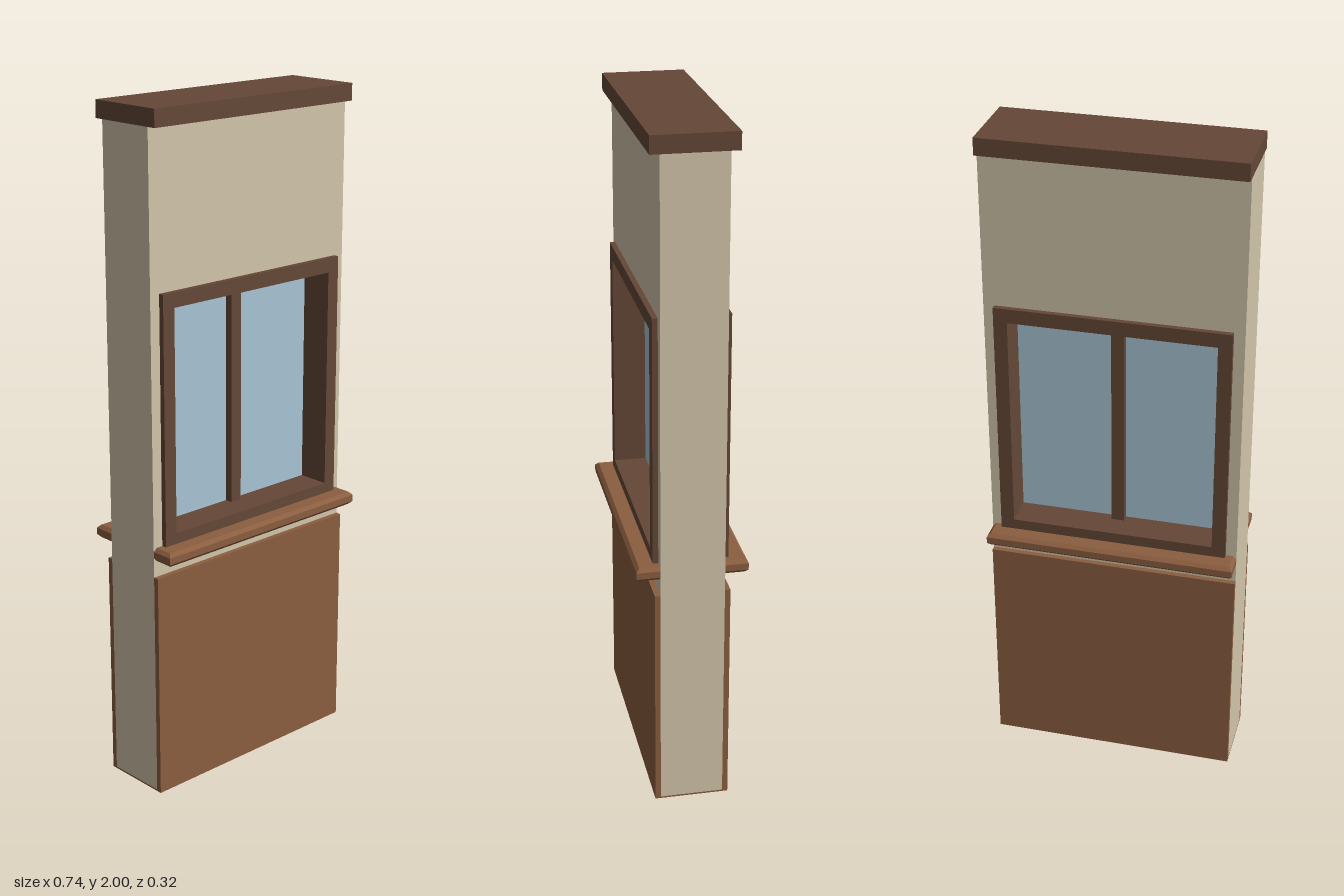
import * as THREE from 'three';

const material = (color) => new THREE.MeshStandardMaterial({ color, flatShading: true });

export function createModel() {
  const model = new THREE.Group();
  const plaster = material(0xd3c6aa);
  const wood = material(0x8b5e40);
  const darkWood = material(0x654837);
  const pane = material(0xa9c6d5);

  const add = (name, geometry, mat) => {
    const mesh = new THREE.Mesh(geometry, mat);
    mesh.name = name;
    model.add(mesh);
    return mesh;
  };

  // Box given by its x, y and z limits
  const box = (name, mat, x0, x1, y0, y1, z0, z1) =>
    add(name, new THREE.BoxGeometry(x1 - x0, y1 - y0, z1 - z0), mat)
      .position.set((x0 + x1) / 2, (y0 + y1) / 2, (z0 + z1) / 2);

  const rectangle = (Type, w, y0, y1) => new Type([
    new THREE.Vector2(-w, y0), new THREE.Vector2(w, y0),
    new THREE.Vector2(w, y1), new THREE.Vector2(-w, y1),
  ]);

  // Upright slab with a rectangular opening, centred on z
  const openSlab = (name, mat, outer, inner, depth) => {
    const shape = rectangle(THREE.Shape, ...outer);
    shape.holes.push(rectangle(THREE.Path, ...inner));
    const geometry = new THREE.ExtrudeGeometry(shape, { depth, bevelEnabled: false });
    geometry.translate(0, 0, -depth / 2);
    add(name, geometry, mat);
  };

  const W = 0.372;

  // Wall with window opening, standing on a thin footing, capped on top
  openSlab('wall', plaster, [W, 0.005, 1.95], [0.34, 0.76, 1.5], 0.186);
  box('footing', wood, -W, W, 0, 0.005, -0.093, 0.093);
  box('topCap', darkWood, -W, W, 1.95, 2, -0.12, 0.12);

  // Wooden panels on both faces
  box('frontPanel', wood, -W, W, 0, 0.682, 0.093, 0.109);
  box('backPanel', wood, -W, W, 0, 0.682, -0.109, -0.093);

  // Window
  openSlab('windowFrame', darkWood, [0.34, 0.76, 1.5], [0.3, 0.802, 1.457], 0.218);
  box('mullion', darkWood, -0.019, 0.019, 0.802, 1.457, -0.035, 0.035);
  box('glass', pane, -0.3, 0.3, 0.802, 1.457, -0.012, 0.012);

  // Chamfered sill running through the wall
  const bevel = 0.01;
  const sill = new THREE.ExtrudeGeometry(rectangle(THREE.Shape, 0.361, -0.151, 0.151), {
    depth: 0.02, bevelThickness: bevel, bevelSize: bevel, bevelSegments: 1,
  });
  sill.rotateX(-Math.PI / 2);
  sill.translate(0, 0.74, 0);
  add('sill', sill, wood);

  return model;
}
